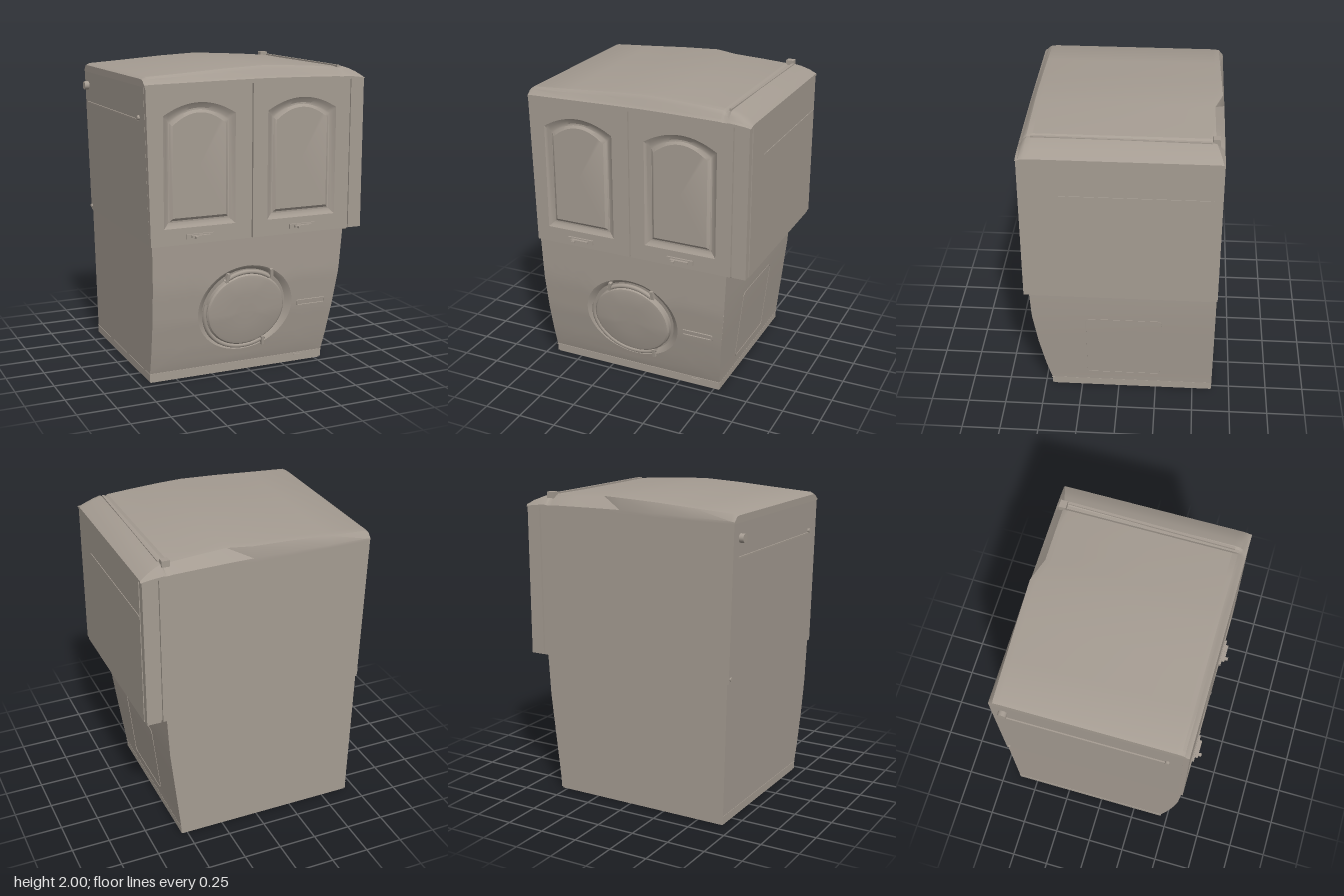
import * as THREE from 'three';
import { toCreasedNormals } from 'three/addons/utils/BufferGeometryUtils.js';

const stone = new THREE.MeshStandardMaterial({ color: 0xa59c92 });
stone.name = 'warm grey';
stone.side = THREE.DoubleSide;

// piecewise linear lookup in a list of [input, output]
function lookup(table, v) {
  for (let i = 1; i < table.length; i++) {
    const [a, p] = table[i - 1], [b, q] = table[i];
    if (v <= b) return p + (q - p) * Math.max(0, (v - a) / (b - a));
  }
  return table[table.length - 1][1];
}

// skin over rows of [x, y, z] points
function surface(rows, closed = false) {
  const n = rows[0].length, index = [];
  for (let i = 0; i < rows.length - 1; i++) {
    for (let j = 0; j < (closed ? n : n - 1); j++) {
      const k = (j + 1) % n, a = i * n + j, b = i * n + k;
      index.push(a, b, b + n, a, b + n, a + n);
    }
  }
  const g = new THREE.BufferGeometry();
  g.setAttribute('position', new THREE.Float32BufferAttribute(rows.flat(2), 3));
  g.setIndex(index);
  return toCreasedNormals(g, 0.5);
}

const FLOOR = 0.92, EAVE = 1.89, BACK = -0.63;
const frontZ = y => lookup([[0, 0.45], [0.06, 0.452], [0.1, 0.465], [0.2, 0.49], [0.4, 0.53], [0.63, 0.562], [0.92, 0.575]], y);
const plusX = y => lookup([[0, 0.54], [0.08, 0.545], [0.65, 0.607], [0.92, 0.622]], y);
const minusX = y => lookup([[0, -0.68], [0.92, -0.70]], y);
const cabinetX = y => lookup([[FLOOR, -0.71], [1.9, -0.735]], y);

function roundedRect(x0, x1, y0, y1, r, Type = THREE.Shape) {
  const s = new Type();
  s.absarc(x1 - r, y1 - r, r, 0, Math.PI / 2);
  s.absarc(x0 + r, y1 - r, r, Math.PI / 2, Math.PI);
  s.absarc(x0 + r, y0 + r, r, Math.PI, Math.PI * 1.5);
  s.absarc(x1 - r, y0 + r, r, Math.PI * 1.5, Math.PI * 2);
  s.closePath();
  return s;
}

// arched panel outline, inset by d
function arch(x0, x1, d) {
  const pts = [[x0 + d, 1.025 + d], [x1 - d, 1.025 + d]];
  for (let i = 0; i <= 20; i++) {
    const t = i / 20;
    pts.push([x1 - d + (x0 - x1 + 2 * d) * t, 1.715 - d + 0.075 * (1 - (2 * t - 1) ** 2)]);
  }
  return pts;
}

export function createModel() {
  const model = new THREE.Group();
  const add = (name, geometry, x = 0, y = 0, z = 0) => {
    const m = new THREE.Mesh(geometry, stone);
    m.name = name;
    m.position.set(x, y, z);
    model.add(m);
    return m;
  };
  // box given by its limits
  const box = (name, x0, x1, y0, y1, z0, z1) =>
    add(name, new THREE.BoxGeometry(x1 - x0, y1 - y0, z1 - z0), (x0 + x1) / 2, (y0 + y1) / 2, (z0 + z1) / 2);

  // lower body walls and base
  const levels = [0.06, 0.1, 0.2, 0.4, 0.65, 0.8, FLOOR];
  add('lowerWalls', surface(levels.map(y => [
    [plusX(y), y, frontZ(y)], [plusX(y), y, BACK], [minusX(y), y, BACK], [minusX(y), y, frontZ(y)]])));
  box('base', -0.682, 0.542, 0.01, 0.06, BACK, 0.453);
  box('baseFoot', -0.675, 0.535, 0, 0.01, BACK + 0.006, 0.445);
  box('baseTrim', -0.684, 0.545, 0.055, 0.062, BACK, 0.457);

  // curved front panel around the round opening
  const cx = -0.055, cy = 0.445;
  const corners = [[0.6, FLOOR], [-0.69, FLOOR], [-0.69, 0.06], [0.6, 0.06]];
  const angles = corners.map(([x, y]) => (Math.atan2(y - cy, x - cx) + 2 * Math.PI) % (2 * Math.PI));
  for (let i = 0; i < 72; i++) angles.push(i * Math.PI / 36 + 0.001);
  angles.sort((a, b) => a - b);
  const ellipse = (rx, ry, lift, y0 = cy) => angles.map(a => {
    const y = y0 + ry * Math.sin(a);
    return [cx + rx * Math.cos(a), y, frontZ(y) + lift];
  });
  const rim = ellipse(0.33, 0.29, 0);
  const edge = angles.map(a => {
    const c = Math.cos(a), s = Math.sin(a);
    const k = Math.min(c > 0 ? (0.6 - cx) / c : (-0.69 - cx) / c, s > 0 ? (FLOOR - cy) / s : (0.06 - cy) / s);
    const y = cy + k * s, u = (cx + k * c + 0.69) / 1.29;
    return [minusX(y) + u * (plusX(y) - minusX(y)), y];
  });
  const panel = [0, 0.2, 0.4, 0.6, 0.8, 1].map(t => edge.map(([x, y], i) => {
    const py = y + (rim[i][1] - y) * t;
    return [x + (rim[i][0] - x) * t, py, frontZ(py)];
  }));
  add('lowerFront', surface(panel, true));

  // round recess and porthole door
  add('roundRecess', surface([rim, ellipse(0.315, 0.277, -0.008), ellipse(0.29, 0.262, -0.028),
    ellipse(0.268, 0.244, -0.03, 0.435)], true));
  add('roundDoor', surface([ellipse(0.27, 0.246, -0.03, 0.435), ellipse(0.268, 0.244, 0, 0.435),
    ellipse(0.258, 0.235, 0.01, 0.435), ellipse(0.24, 0.217, 0.013, 0.435),
    ellipse(0.12, 0.11, 0.014, 0.435), ellipse(0, 0, 0.014, 0.435)], true));
  const arc = (a0, a1, rx, ry) => new THREE.CatmullRomCurve3(Array.from({ length: 17 }, (_, i) => {
    const a = a0 + (a1 - a0) * i / 16, y = 0.435 + ry * Math.sin(a);
    return new THREE.Vector3(cx + rx * Math.cos(a), y, frontZ(y) - 0.006);
  }));
  add('doorSealLower', new THREE.TubeGeometry(arc(2.9, 5.3, 0.282, 0.257), 40, 0.015, 8));
  add('doorSealUpper', new THREE.TubeGeometry(arc(0.95, 2.2, 0.265, 0.257), 24, 0.015, 8));
  for (const [x, y] of [[-0.195, 0.67], [0.11, 0.67], [0.085, 0.2]]) {
    const clasp = add('doorClasp', new THREE.BoxGeometry(0.02, 0.06, 0.03), x, y, frontZ(y));
    clasp.rotation.set(0.17, 0, x < 0 ? -0.2 : 0.1);
  }

  // slot handle and latch on the front
  const slotShape = roundedRect(-0.105, 0.105, -0.021, 0.021, 0.012);
  slotShape.holes.push(roundedRect(-0.097, 0.097, -0.013, 0.013, 0.006, THREE.Path));
  add('slotHandle', new THREE.ExtrudeGeometry(slotShape, { depth: 0.008, bevelEnabled: false }),
    0.415, 0.435, frontZ(0.435)).rotation.x = 0.15;
  box('baseLatch', 0.34, 0.4, 0.03, 0.05, 0.44, 0.458);

  // outlined access panel on the +x side
  const hatch = roundedRect(-0.215, 0.285, 0.13, 0.625, 0.03);
  hatch.holes.push(roundedRect(-0.21, 0.28, 0.135, 0.62, 0.026, THREE.Path));
  const hatchGeo = new THREE.ExtrudeGeometry(hatch, { depth: 0.003, bevelEnabled: false });
  hatchGeo.rotateY(Math.PI / 2);
  const hp = hatchGeo.attributes.position;
  for (let i = 0; i < hp.count; i++) hp.setX(i, hp.getX(i) + plusX(hp.getY(i)));
  hatchGeo.computeVertexNormals();
  add('sideHatch', hatchGeo);

  // upper cabinet: sloped main body, filler and overhanging side column
  const ring = y => [[0.645, y, 0.552], [0.645, y, BACK], [cabinetX(y), y, BACK], [cabinetX(y), y, 0.552]];
  const middle = y => ring(y).map(() => [0, y, 0]);
  add('cabinetBody', surface([middle(FLOOR), ring(FLOOR), ring(EAVE), middle(EAVE)], true));
  box('columnFiller', 0.6, 0.7, FLOOR + 0.005, EAVE, BACK + 0.015, 0.565);
  box('sideColumn', 0.658, 0.75, FLOOR, EAVE, BACK, 0.582);
  box('sidePanel', 0.745, 0.755, FLOOR, EAVE, BACK + 0.045, 0.535);
  box('sideRail', 0.75, 0.759, 1.655, 1.661, -0.58, 0.34);
  box('oppositeRail', -0.738, -0.726, 1.68, 1.69, -0.56, 0.45);
  for (const [z0, z1] of [[0.16, 0.51], [-0.58, -0.27]])
    box('slideRail', 0.65, 0.7, 0.903, FLOOR, z0, z1);

  // arched cabinet doors with handles
  const doors = [
    { corners: [[-0.71, FLOOR], [-0.038, FLOOR], [-0.038, EAVE], [-0.733, EAVE]], x0: -0.625, x1: -0.15, handle: -0.39 },
    { corners: [[-0.03, FLOOR], [0.65, FLOOR], [0.65, EAVE], [-0.03, EAVE]], x0: 0.07, x1: 0.55, handle: 0.315 }];
  for (const { corners: c, x0, x1, handle } of doors) {
    const vec = p => new THREE.Vector2(...p);
    const shape = new THREE.Shape(c.map(vec));
    shape.holes.push(new THREE.Path(arch(x0, x1, 0).map(vec)));
    add('doorFrame', new THREE.ExtrudeGeometry(shape, { depth: 0.033, bevelEnabled: false }), 0, 0, 0.552);
    const rings = [[0, 0.585], [0.015, 0.575], [0.035, 0.566], [0.045, 0.567], [0.062, 0.58]]
      .map(([d, z]) => arch(x0, x1, d).map(p => [...p, z]));
    rings.push(rings[0].map(() => [(x0 + x1) / 2, 1.4, 0.58]));
    add('doorPanel', surface(rings, true));
    box('handleBack', handle - 0.09, handle + 0.09, 0.953, 0.983, 0.58, 0.597);
    box('handleGrip', handle - 0.06, handle + 0.06, 0.962, 0.976, 0.59, 0.615);
    box('handleLip', handle - 0.045, handle - 0.025, 0.96, 0.974, 0.6, 0.635);
  }

  // crowned roof with rounded front and chamfered rear
  const crown = [[-0.737, 1.935], [-0.71, 1.95], [-0.45, 1.967], [-0.2, 1.985], [0.05, 1.997], [0.2, 1.993],
    [0.4, 1.982], [0.565, 1.97], [0.58, 1.96], [0.6, 1.96], [0.615, 1.97], [0.66, 1.957], [0.71, 1.935], [0.757, 1.905]];
  const rear = [[-0.737, 0.03], [0.05, 0.012], [0.2, 0.06], [0.6, 0.055], [0.757, 0.008]];
  const section = (x, top) => {
    const rise = top - EAVE, b = lookup(rear, x);
    return [[BACK, 0], [BACK, 0.25], [BACK + b, 0.93], [BACK + b + 0.04, 1], [0, 1], [0.5, 1], [0.535, 0.95],
      [0.555, 0.75], [0.57, 0.4], [0.585, 0.25], [0.585, 0]].map(([z, k]) => [x, EAVE + rise * k, z]);
  };
  add('roof', surface([section(-0.737, EAVE), ...crown.map(([x, y]) => section(x, y)), section(0.757, EAVE)]));
  const ridge = add('roofRidge', new THREE.BoxGeometry(0.016, 0.016, 1.06), 0.608, 1.966, -0.02);
  ridge.rotation.y = -0.015;
  box('roofFin', 0.565, 0.615, 1.95, 1.99, -0.6, -0.555);

  // small fittings on the -x side
  const knob = (name, r, l, x, y, z) => {
    add(name, new THREE.CylinderGeometry(r, r, l, 20), x, y, z).rotation.z = Math.PI / 2;
  };
  knob('ventCap', 0.028, 0.03, -0.752, 1.8, -0.55);
  knob('ventStem', 0.018, 0.05, -0.738, 1.8, -0.55);
  knob('railStop', 0.014, 0.02, -0.735, 1.7, 0.46);
  knob('lowerStop', 0.012, 0.02, -0.71, 0.95, -0.61);
  knob('underStop', 0.01, 0.03, 0.65, 0.91, 0.54);
  return model;
}
